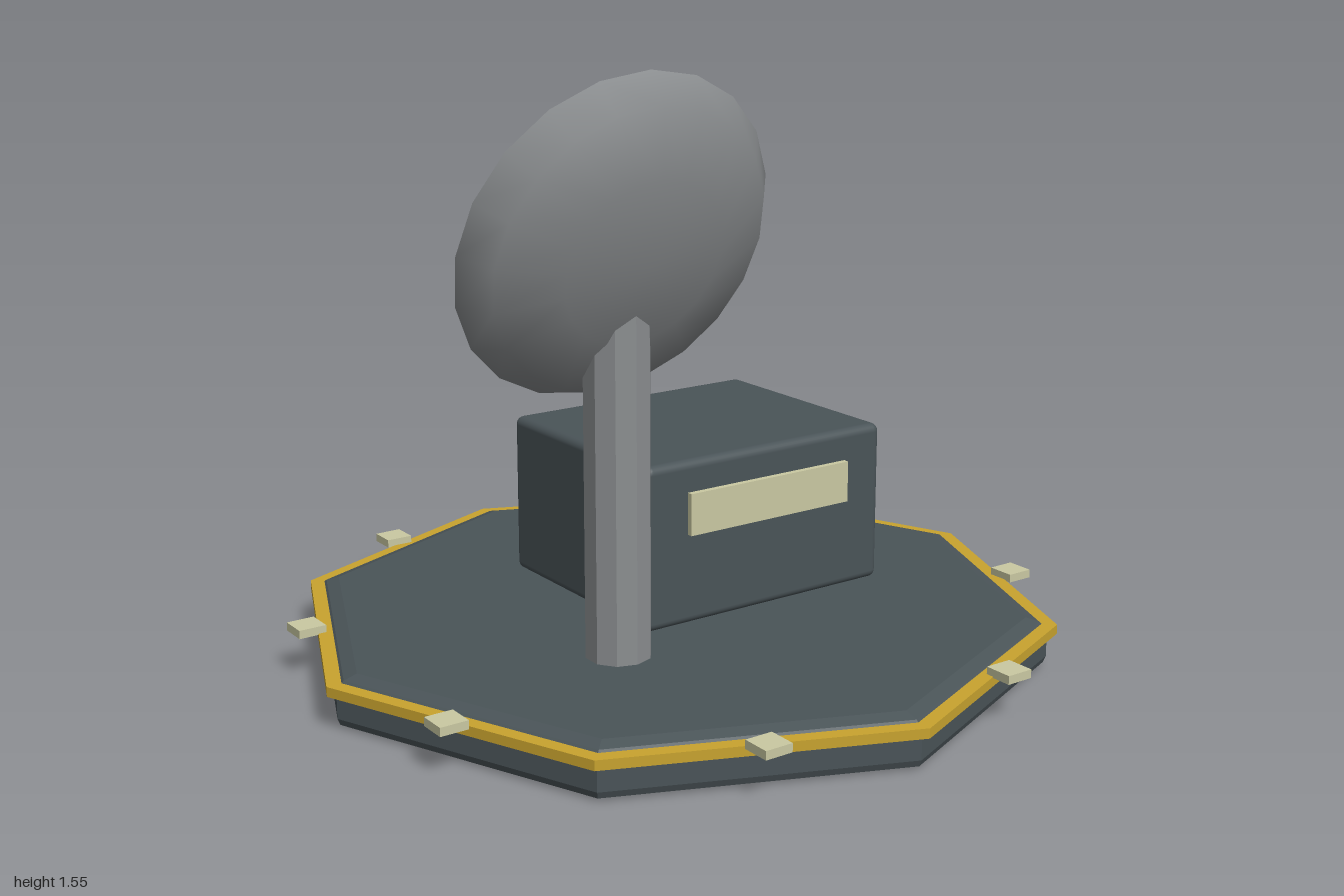
import * as THREE from 'three';
import { RoundedBoxGeometry } from 'three/addons/geometries/RoundedBoxGeometry.js';

const material = (name, color, options = {}) => {
  const m = new THREE.MeshStandardMaterial({ color, ...options });
  m.name = name;
  return m;
};

// Octagonal solid turned from [radius, height] pairs, corners on the x and z axes
const octagon = (profile) =>
  new THREE.LatheGeometry(profile.map(([r, y]) => new THREE.Vector2(r, y)), 8).toNonIndexed();

const flat = (geometry) => {
  const g = geometry.index ? geometry.toNonIndexed() : geometry;
  g.computeVertexNormals();
  return g;
};

export function createModel() {
  const slate = material('slate', 0x4a5458);
  const gold = material('gold', 0xc9a42f);
  const cream = material('cream', 0xcac9a2);
  const grey = material('grey', 0x8b8e90, { side: THREE.DoubleSide });

  const model = new THREE.Group();
  model.name = 'dishStation';
  const add = (name, geometry, mat, x = 0, y = 0, z = 0) => {
    const mesh = new THREE.Mesh(geometry, mat);
    mesh.name = name;
    mesh.position.set(x, y, z);
    model.add(mesh);
    return mesh;
  };

  // Octagonal platform with softened edges
  add('platform', flat(octagon([
    [0, 0], [0.945, 0], [0.968, 0.008], [0.975, 0.025],
    [0.975, 0.1], [0.955, 0.117], [0.92, 0.127], [0, 0.127],
  ])), slate);

  // Gold trim band around the platform
  add('trimBand', flat(octagon([
    [0.95, 0.087], [1, 0.087], [1, 0.112], [0.95, 0.112], [0.95, 0.087],
  ])), gold);

  // Marker lights at the middle of each side
  for (let i = 0; i < 8; i++) {
    const a = (i + 0.5) * Math.PI / 4;
    add('markerLight', new THREE.BoxGeometry(0.074, 0.022, 0.074), cream,
      Math.sin(a) * 0.952, 0.12, Math.cos(a) * 0.952);
  }

  // Equipment cabin with a lit window on the front
  add('cabin', new RoundedBoxGeometry(0.76, 0.432, 0.636, 3, 0.022), slate, 0.17, 0.341, -0.13);
  add('window', new THREE.BoxGeometry(0.51, 0.11, 0.018), cream, 0.17, 0.42, 0.195);

  // Ten-sided mast
  add('mast', flat(new THREE.CylinderGeometry(0.083, 0.083, 0.945, 10)), grey, -0.343, 0.5975, 0.257);

  // Shallow dish, its bowl bulging forward and slightly down
  const bowl = new THREE.SphereGeometry(0.425, 20, 3, 0, Math.PI * 2, 0, Math.PI / 2);
  bowl.scale(1, 0.35, 1);
  const dish = add('dish', bowl, grey, -0.343, 1.155, 0.257);
  dish.rotation.x = Math.PI / 2 + THREE.MathUtils.degToRad(20);

  return model;
}
